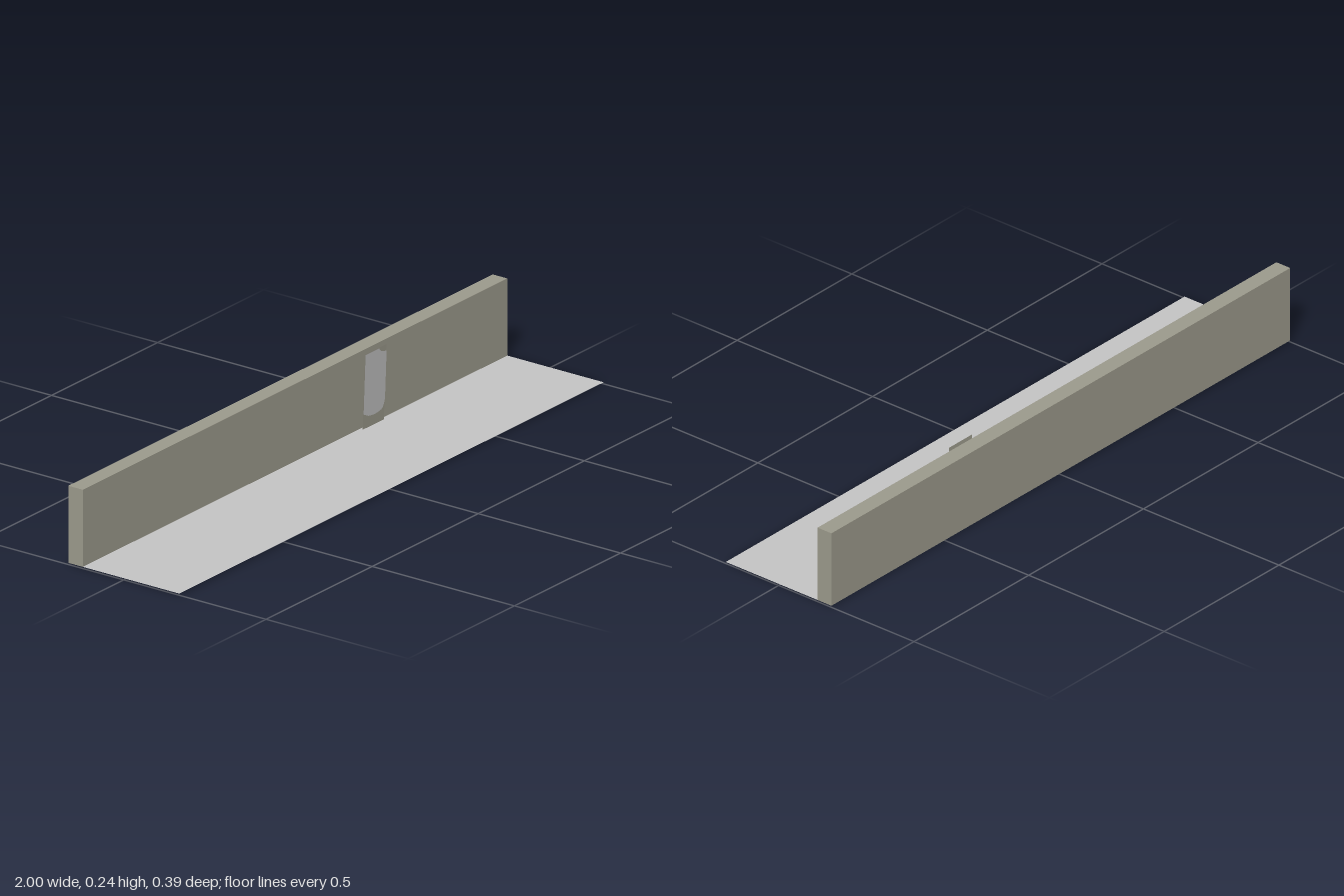
import * as THREE from 'three';

export function createModel() {
  const mat = (name, color) => {
    const m = new THREE.MeshStandardMaterial({ color, side: THREE.DoubleSide });
    m.name = name;
    return m;
  };
  const stone = mat('stone', 0x9c9a8c);
  const pavement = mat('pavement grey', 0xc4c4c4);
  const pale = mat('pale grey', 0xc1c1c1);

  const model = new THREE.Group();
  const add = (name, geometry, material, parent = model) => {
    const mesh = new THREE.Mesh(geometry, material);
    mesh.name = name;
    parent.add(mesh);
    return mesh;
  };

  // Long wall, open underneath: drop the bottom face of the box
  const box = new THREE.BoxGeometry(2, 0.234, 0.051);
  const index = Array.from(box.index.array);
  index.splice(18, 6);
  box.setIndex(index);
  box.clearGroups();
  add('wall', box, stone).position.set(0, 0.122, -0.1695);

  // Flat pavement in front of the wall
  const ground = new THREE.PlaneGeometry(2, 0.339).rotateX(-Math.PI / 2);
  add('pavement', ground, pavement).position.set(0, 0.005, 0.0255);

  // Thin panel, leaning slightly forward of the wall
  const panel = new THREE.Group();
  panel.name = 'leaningPanel';
  panel.position.set(0.355, 0, -0.134);
  panel.rotation.x = Math.atan2(0.009, 0.235);
  model.add(panel);

  const sheet = new THREE.PlaneGeometry(0.1, 0.235).translate(0, 0.1175, 0);
  add('panelSheet', sheet, stone, panel);

  // Pale face with a clipped top corner and rounded lower corners
  const face = new THREE.Shape();
  face.moveTo(-0.05, 0.234);
  face.lineTo(0.014, 0.234);
  face.quadraticCurveTo(0.024, 0.217, 0.05, 0.217);
  face.lineTo(0.05, 0.07);
  face.quadraticCurveTo(0.045, 0.046, 0.034, 0.041);
  face.quadraticCurveTo(0, 0.033, -0.028, 0.041);
  face.lineTo(-0.05, 0.052);
  add('panelFace', new THREE.ShapeGeometry(face, 6), pale, panel).position.z = 0.0015;

  return model;
}
